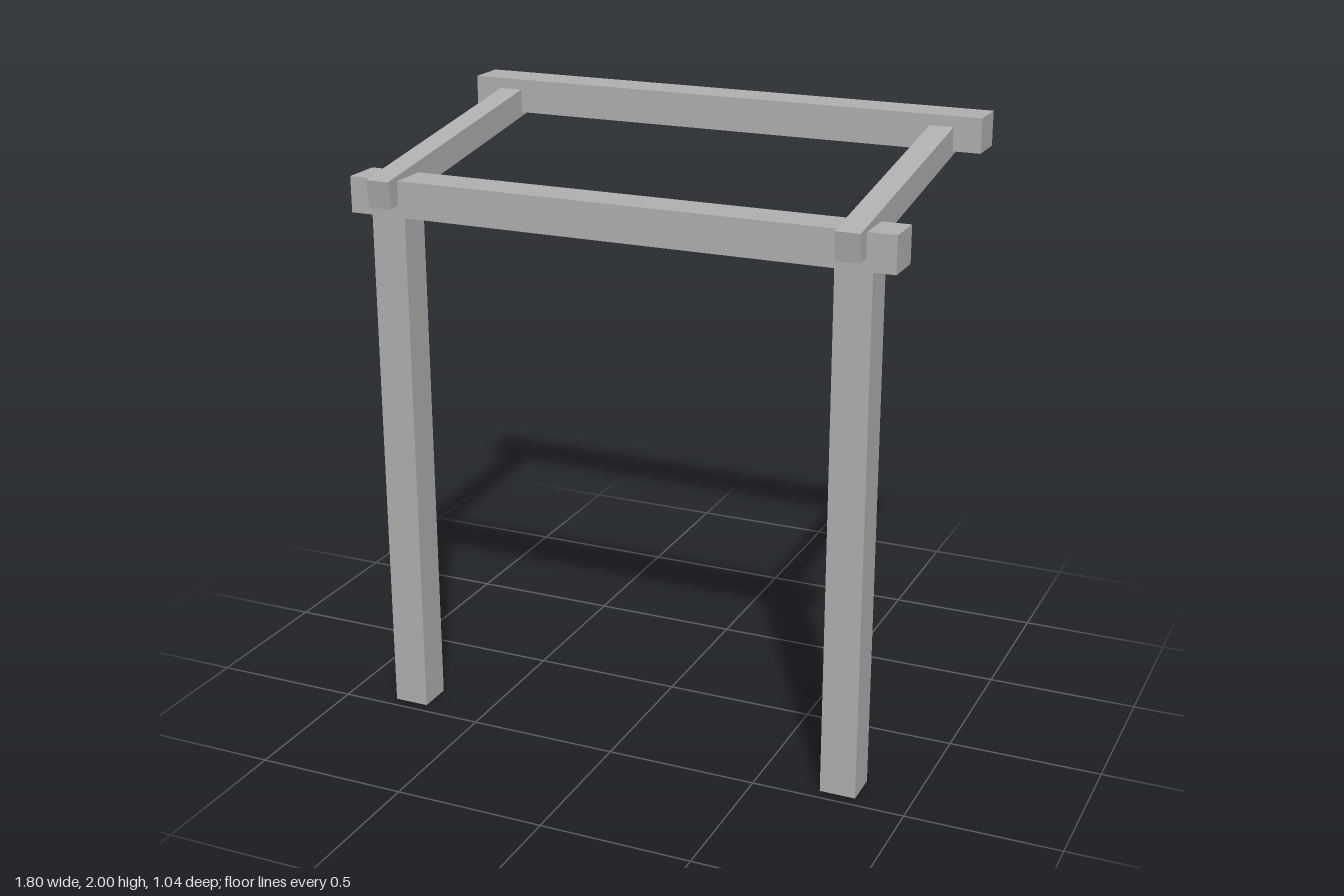
import * as THREE from 'three';

export function createModel() {
  const group = new THREE.Group();
  group.name = 'pergolaFrame';
  const grey = new THREE.MeshStandardMaterial({ color: 0xb0b0b0 });
  grey.name = 'plain grey';

  function beam(name, size, position, tilt = 0) {
    const mesh = new THREE.Mesh(new THREE.BoxGeometry(...size), grey);
    mesh.name = name;
    mesh.position.set(...position);
    mesh.rotation.x = tilt;
    group.add(mesh);
  }

  // Horizontal beams: the front one rests on the posts, the rear one is higher
  beam('frontBeam', [1.8, 0.117, 0.132], [0, 1.767, 0.4]);
  beam('rearBeam', [1.8, 0.113, 0.132], [0, 1.9435, -0.437]);

  // A post and a sloping rafter on each side
  for (const [side, s] of [['left', 1], ['right', -1]]) {
    beam(side + 'Post', [0.117, 1.709, 0.117], [s * 0.77, 0.8545, 0.402]);
    beam(side + 'Rafter', [0.079, 0.091, 1.035], [s * 0.769, 1.8635, 0.0026], 0.1464);
  }
  return group;
}
